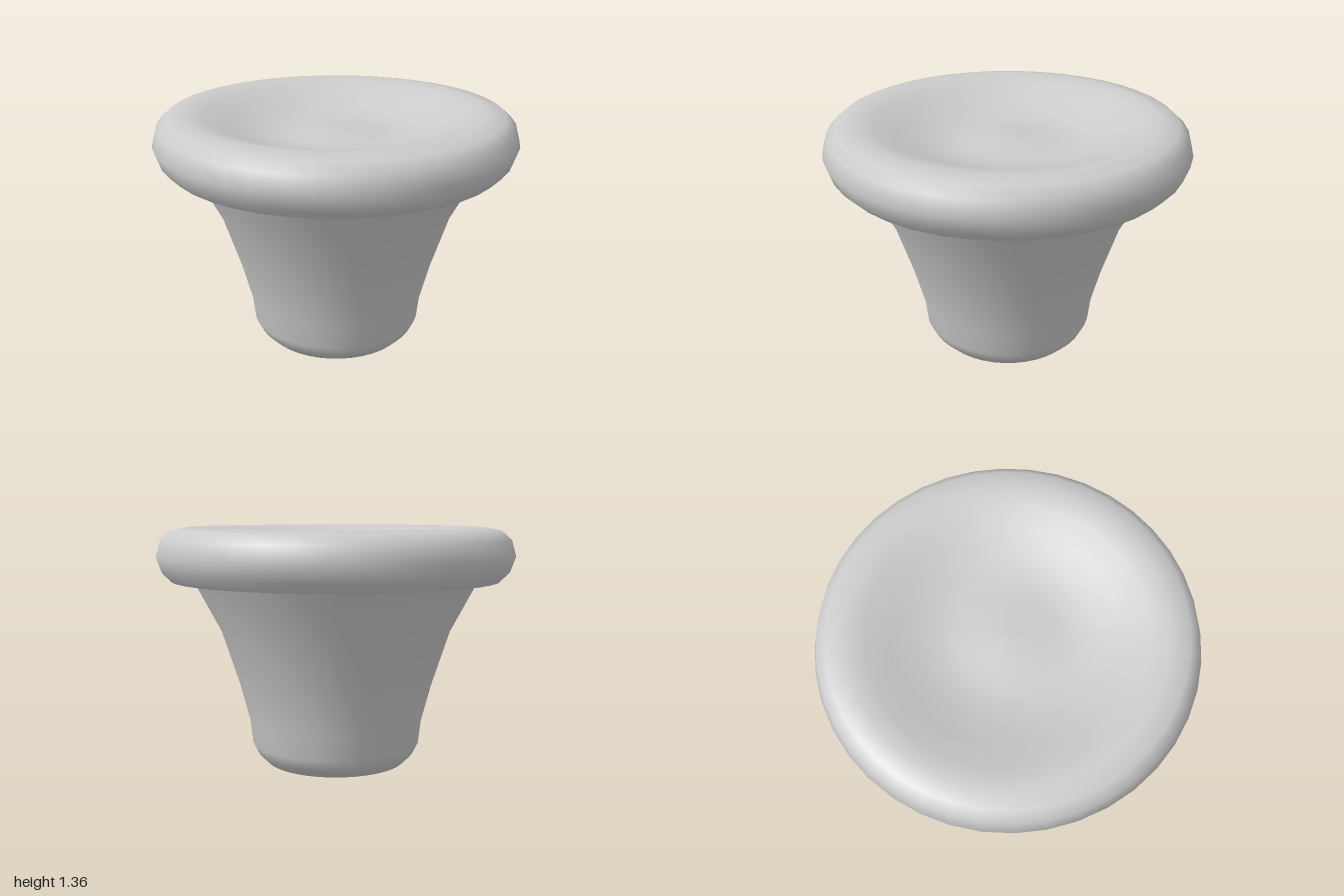
import * as THREE from 'three';

const SIDES = 40;

export function createModel() {
  const group = new THREE.Group();
  const material = new THREE.MeshStandardMaterial({ color: 0xcccccc });

  // Revolves a profile of [radius, height] pairs; normals are smooth within it.
  const revolve = (name, profile) => {
    const points = profile.map(([r, y]) => new THREE.Vector2(r, y));
    const mesh = new THREE.Mesh(new THREE.LatheGeometry(points, SIDES), material);
    mesh.name = name;
    group.add(mesh);
  };

  // Flared stem with a flat, rounded foot
  revolve('stem', [
    [0, 0], [0.32, 0], [0.34, 0.005], [0.4, 0.02], [0.45, 0.07], [0.48, 0.13],
    [0.495, 0.26], [0.55, 0.47], [0.65, 0.78], [0.8, 1.065],
  ]);

  // Flat underside of the head
  revolve('headUnderside', [[0.8, 1.065], [0.92, 1.065]]);

  // Rounded rim and dished top with a slight rise in the middle
  revolve('head', [
    [0.92, 1.065], [0.97, 1.115], [1, 1.2], [0.975, 1.29], [0.92, 1.34],
    [0.82, 1.358], [0.72, 1.335], [0.6, 1.29], [0.48, 1.245], [0.36, 1.22],
    [0.26, 1.217], [0.14, 1.228], [0, 1.235],
  ]);

  return group;
}
